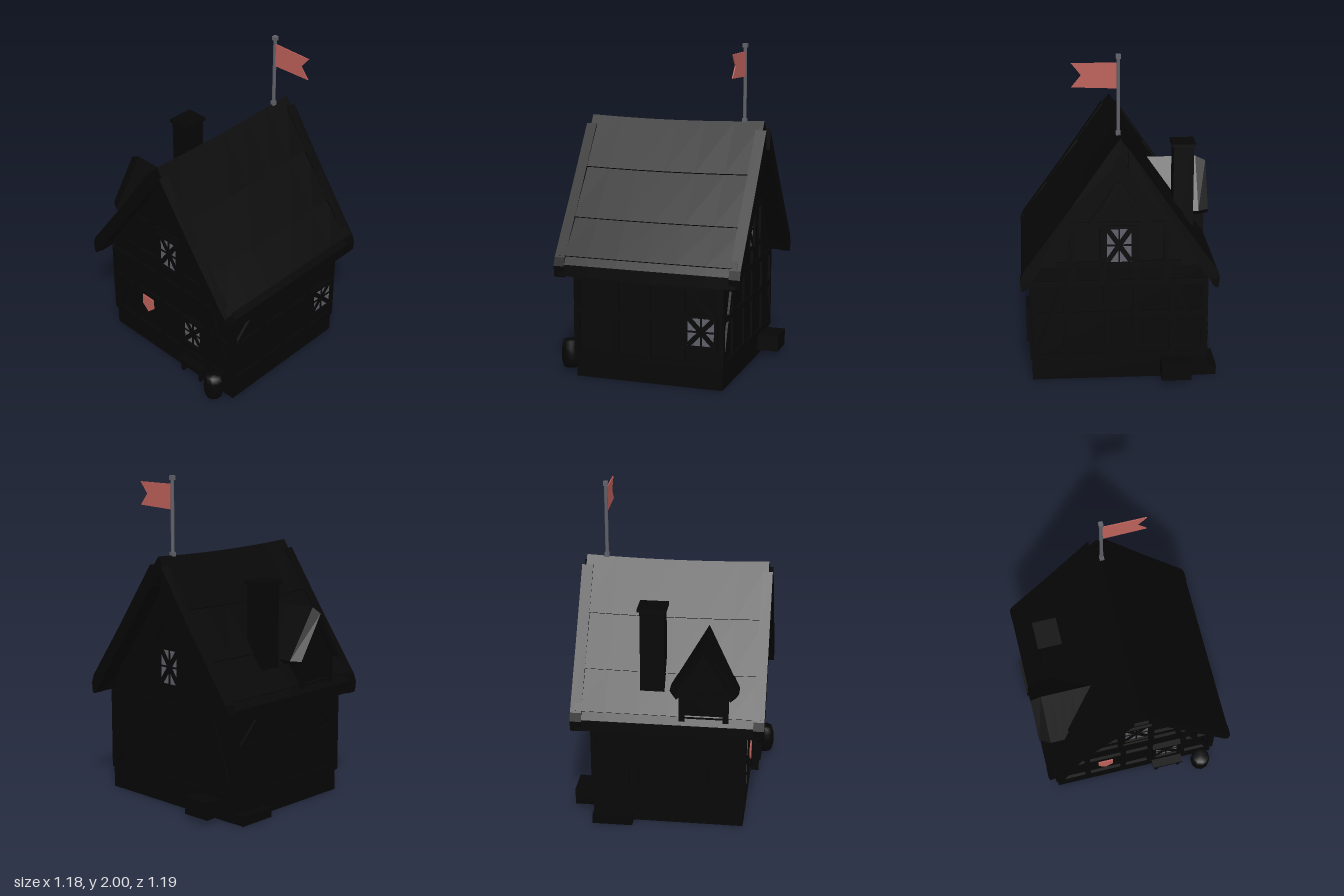
import * as THREE from 'three';

const mat = (name, color, side = THREE.FrontSide) => {
  const m = new THREE.MeshStandardMaterial({ color, side });
  m.name = name;
  return m;
};

export function createModel() {
  const dark = mat('charred black', 0x060606);
  const grey = mat('iron grey', 0x5f6068);
  const red = mat('banner red', 0xbc605a, THREE.DoubleSide);
  const house = new THREE.Group();
  house.name = 'timberHouse';

  const add = (parent, name, geo, m, x = 0, y = 0, z = 0) => {
    const mesh = new THREE.Mesh(geo, m);
    mesh.name = name;
    mesh.position.set(x, y, z);
    parent.add(mesh);
    return mesh;
  };
  const box = (parent, name, w, h, d, x, y, z, m = dark) =>
    add(parent, name, new THREE.BoxGeometry(w, h, d), m, x, y, z);
  // Extrude an xy outline between two z values; an optional rule moves the vertices
  const prism = (parent, name, pts, z0, z1, m = dark, steps = 1, rule = null) => {
    const geo = new THREE.ExtrudeGeometry(new THREE.Shape(pts.map(p => new THREE.Vector2(...p))),
      { depth: z1 - z0, steps, bevelEnabled: false });
    geo.translate(0, 0, z0);
    if (rule) {
      const p = geo.attributes.position;
      for (let i = 0; i < p.count; i++) p.setXYZ(i, ...rule(p.getX(i), p.getY(i), p.getZ(i)));
      geo.computeVertexNormals();
    }
    return add(parent, name, geo, m);
  };
  // Timber between two points on a wall plane
  const beam = (parent, x1, y1, x2, y2, z, w = 0.035, d = 0.03) => {
    const b = box(parent, 'timber', Math.hypot(x2 - x1, y2 - y1), w, d, (x1 + x2) / 2, (y1 + y2) / 2, z);
    b.rotation.z = Math.atan2(y2 - y1, x2 - x1);
  };
  // A side of the house whose local +z points outward
  const side = (name, angle, z = 0) => {
    const g = new THREE.Group();
    g.name = name;
    g.rotation.y = angle;
    g.position.z = z;
    house.add(g);
    return g;
  };
  const mirror = pts => [...pts, ...pts.slice().reverse().filter(p => p[0] !== 0).map(([x, y]) => [-x, y])];

  // Leaded window: pane, frame, cross and diagonal bars
  const windowAt = (parent, x, y, w, h, z) => {
    const g = new THREE.Group();
    g.name = 'window';
    g.position.set(x, y, z);
    parent.add(g);
    box(g, 'pane', w, h, 0.008, 0, 0, 0.012, grey);
    for (const s of [-1, 1]) {
      box(g, 'frameSide', 0.02, h + 0.04, 0.035, s * (w / 2 + 0.01), 0, 0.014);
      box(g, 'frameRail', w + 0.04, 0.02, 0.035, 0, s * (h / 2 + 0.01), 0.014);
      const l = w * 0.48, k = h * 0.48;
      beam(g, -l, -s * k, l, s * k, 0.014, 0.03, 0.012);
    }
    box(g, 'mullion', 0.01, h, 0.014, 0, 0, 0.015);
    box(g, 'transom', w, 0.01, 0.014, 0, 0, 0.015);
  };

  // Foundation and the gabled wall volume
  box(house, 'foundation', 1.05, 0.14, 0.92, 0, 0.07, -0.003);
  prism(house, 'walls', mirror([[0, 1.475], [0.52, 0.72], [0.52, 0.13]]), -0.457, 0.452);

  // Roof: two slopes with a curled eave and sagging ridge, tile courses and bargeboards
  const outer = [[0, 1.535], [0.2, 1.235], [0.4, 0.955], [0.555, 0.745], [0.583, 0.7], [0.585, 0.63]];
  const inner = [[0.548, 0.63], [0.53, 0.685], [0, 1.44]];
  const sag = (x, y, z) => [x, y - 0.014 * (1 - (z / 0.55) ** 2) * Math.max(0, 1 - Math.abs(x) / 0.6), z];
  prism(house, 'roof', [...outer, ...inner, ...inner.slice(0, 2).reverse().map(([x, y]) => [-x, y]),
    ...outer.slice(1).reverse().map(([x, y]) => [-x, y])], -0.558, 0.55, dark, 6, sag);
  for (const s of [-1, 1]) {
    const flip = pts => pts.map(([x, y]) => [s * x, y]);
    for (const [a, b] of [[0, 1], [1, 2], [2, 3]]) {
      const [p, q] = [outer[a], outer[b]];
      prism(house, 'tileCourse', flip([p, q, [q[0] + 0.01, q[1] + 0.007]]), -0.558, 0.55, dark, 6, sag);
    }
    for (const [z0, z1] of [[0.51, 0.575], [-0.583, -0.515]])
      prism(house, 'bargeboard', flip([[0.045, 1.485], [0.3, 1.115], [0.57, 0.74], [0.588, 0.69], [0.582, 0.63],
        [0.572, 0.62], [0.55, 0.635], [0.53, 0.67], [0.28, 1.02], [0.045, 1.355]]), z0, z1);
  }

  // Half-timbering on both gable ends
  const front = side('frontWall', 0), back = side('backWall', Math.PI);
  for (const g of [front, back]) {
    const z = 0.456;
    for (const y of [0.15, 0.42, 0.62]) beam(g, -0.53, y, 0.53, y, z);
    beam(g, -0.37, 0.74, 0.37, 0.74, z);
    beam(g, -0.3, 0.985, 0.3, 0.985, z);
    for (const x of [-0.515, -0.32, -0.08, 0.1, 0.32, 0.515]) beam(g, x, 0.14, x, 0.63, z);
    for (const x of [-0.28, -0.1, 0.1, 0.28]) beam(g, x, 0.63, x, 0.985, z);
    for (const s of [-1, 1]) {
      beam(g, s * 0.5, 0.16, s * 0.34, 0.6, z);
      beam(g, s * 0.16, 0.99, 0, 1.24, z);
    }
    windowAt(g, 0, 0.86, 0.145, 0.21, z);
  }
  windowAt(front, 0.205, 0.35, 0.145, 0.17, 0.462);

  // Shield on the front
  prism(front, 'shield', [[-0.248, 0.405], [-0.248, 0.335], [-0.2, 0.29], [-0.152, 0.335], [-0.152, 0.405]], 0.474, 0.482, red);

  // Half-timbering on the long walls
  const left = side('leftWall', Math.PI / 2), right = side('rightWall', -Math.PI / 2);
  for (const g of [left, right]) {
    const z = 0.522;
    for (const y of [0.15, 0.42, 0.62]) beam(g, -0.47, y, 0.465, y, z);
    for (const x of [-0.45, -0.2, 0, 0.22, 0.45]) beam(g, x, 0.14, x, 0.63, z);
    for (const s of [-1, 1]) beam(g, s * 0.42, 0.44, s * 0.25, 0.61, z);
  }
  windowAt(left, 0.337, 0.35, 0.165, 0.17, 0.524);

  // Plank door with hinge straps, and its step
  box(right, 'door', 0.2, 0.4, 0.02, -0.335, 0.26, 0.526);
  for (const y of [0.17, 0.22, 0.27, 0.32, 0.38]) box(right, 'doorStrap', 0.19, 0.022, 0.02, -0.335, y, 0.535);
  box(house, 'doorStep', 0.09, 0.06, 0.245, -0.55, 0.03, -0.338);

  // Dormer on the right slope, its roof drawn in slightly at the gable
  const dormer = side('dormer', -Math.PI / 2, 0.215);
  prism(dormer, 'dormerBody', mirror([[0, 1.16], [0.145, 0.92], [0.145, 0.66]]), 0.25, 0.56);
  prism(dormer, 'dormerRoof', [[0, 1.2], [0.205, 0.9], [0.19, 0.875], [0.155, 0.9], [0, 1.13],
    [-0.155, 0.9], [-0.19, 0.875], [-0.205, 0.9]].reverse(), 0.21, 0.594, dark, 6,
    (x, y, z) => z > 0.56 ? [x * 0.84, y > 1.1 ? y - 0.03 : y, z] : [x, y, z]);
  for (const s of [-1, 1]) beam(dormer, s * 0.13, 0.68, s * 0.13, 0.88, 0.555);
  beam(dormer, -0.145, 0.89, 0.145, 0.89, 0.56);

  // Chimney with cap
  box(house, 'chimney', 0.122, 0.65, 0.145, -0.412, 1.055, -0.1);
  box(house, 'chimneyCap', 0.145, 0.018, 0.172, -0.412, 1.38, -0.1);

  // Barrel by the front corner
  const stave = [[0, 0.03], [0.05, 0.03], [0.06, 0.07], [0.063, 0.112], [0.06, 0.155], [0.05, 0.195], [0, 0.195]];
  add(house, 'barrel', new THREE.LatheGeometry(stave.map(p => new THREE.Vector2(...p)), 10), dark, 0.435, 0, 0.532);

  // Front bench and the rear trough
  box(house, 'benchSeat', 0.2, 0.018, 0.07, 0.215, 0.12, 0.49);
  for (const x of [0.14, 0.29]) box(house, 'benchLeg', 0.02, 0.085, 0.05, x, 0.07, 0.488);
  box(house, 'trough', 0.18, 0.105, 0.135, -0.34, 0.083, -0.527);

  // Flagpole with square knobs and a swallow-tailed flag
  const flag = new THREE.Group();
  flag.name = 'flag';
  flag.position.set(0.004, 0, -0.436);
  house.add(flag);
  add(flag, 'pole', new THREE.CylinderGeometry(0.011, 0.011, 0.46, 8), grey, 0, 1.755, 0);
  for (const y of [1.537, 1.987]) box(flag, 'knob', 0.027, 0.026, 0.027, 0, y, 0, grey);
  prism(flag, 'pennant', [[0.005, 1.8], [0.27, 1.81], [0.213, 1.88], [0.27, 1.95], [0.005, 1.95]], -0.003, 0.003, red);

  return house;
}
